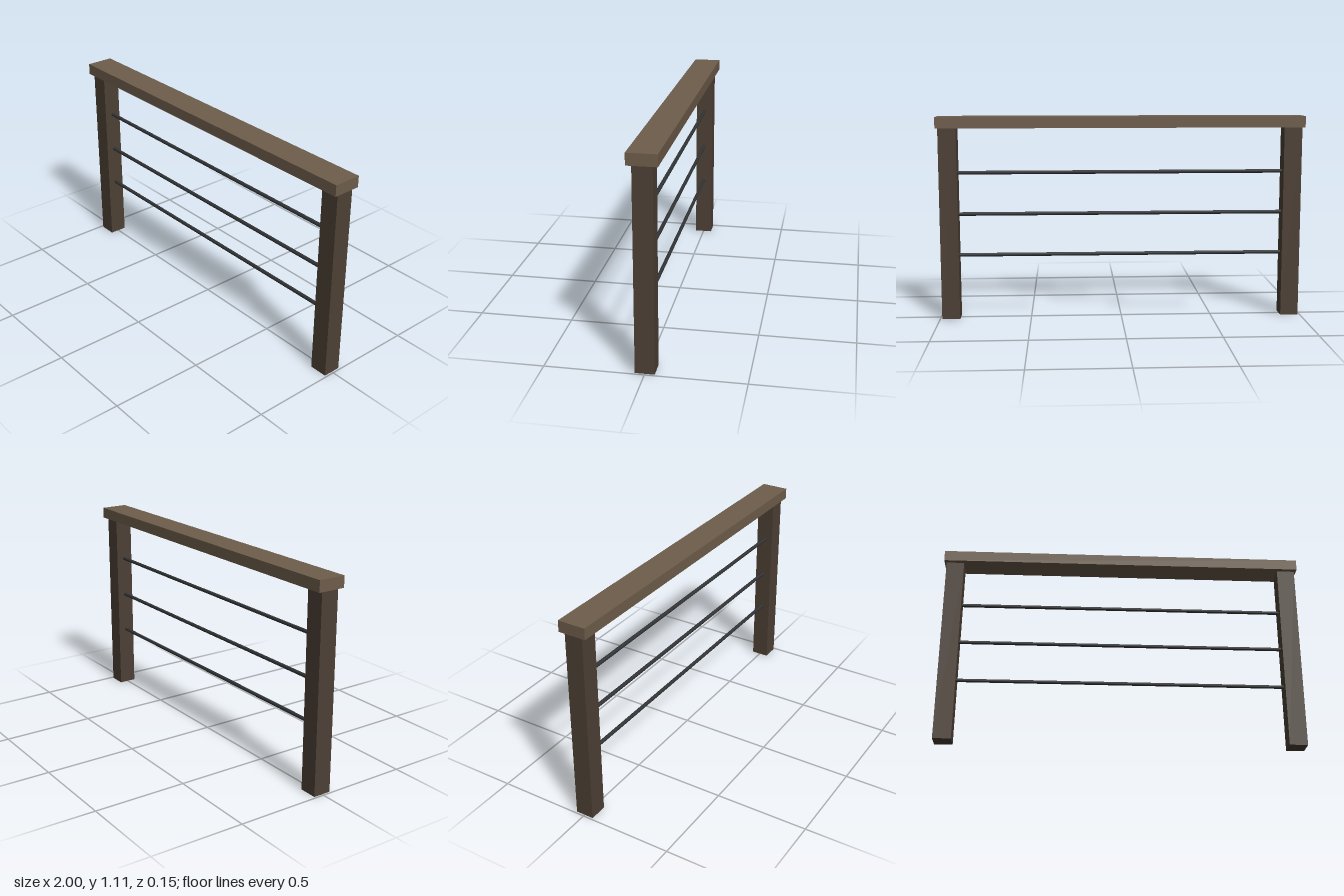
import * as THREE from 'three';

export function createModel() {
  const model = new THREE.Group();
  model.name = 'railing';

  const railWood = new THREE.MeshStandardMaterial({ color: 0x6e5d4b });
  railWood.name = 'light brown wood';
  const postWood = new THREE.MeshStandardMaterial({ color: 0x4d4035 });
  postWood.name = 'dark brown wood';
  const metal = new THREE.MeshStandardMaterial({ color: 0x333436 });
  metal.name = 'dark metal';

  const add = (name, geometry, material, x, y) => {
    const mesh = new THREE.Mesh(geometry, material);
    mesh.name = name;
    mesh.position.set(x, y, 0);
    model.add(mesh);
  };

  // Handrail resting on the posts
  const railBottom = 1.05, railHeight = 0.06;
  add('handrail', new THREE.BoxGeometry(2, railHeight, 0.15), railWood, 0, railBottom + railHeight / 2);

  // Square posts, one at each end
  const postGeometry = new THREE.BoxGeometry(0.098, railBottom, 0.098);
  for (const side of [-1, 1]) {
    add(side > 0 ? 'leftPost' : 'rightPost', postGeometry, postWood, side * 0.94, railBottom / 2);
  }

  // Thin round bars, ends set slightly into the posts
  const barGeometry = new THREE.CylinderGeometry(0.01, 0.01, 1.8, 8).rotateZ(Math.PI / 2);
  ['lowerBar', 'middleBar', 'upperBar'].forEach((name, i) => {
    add(name, barGeometry, metal, 0, 0.35 + i * 0.2275);
  });

  return model;
}
